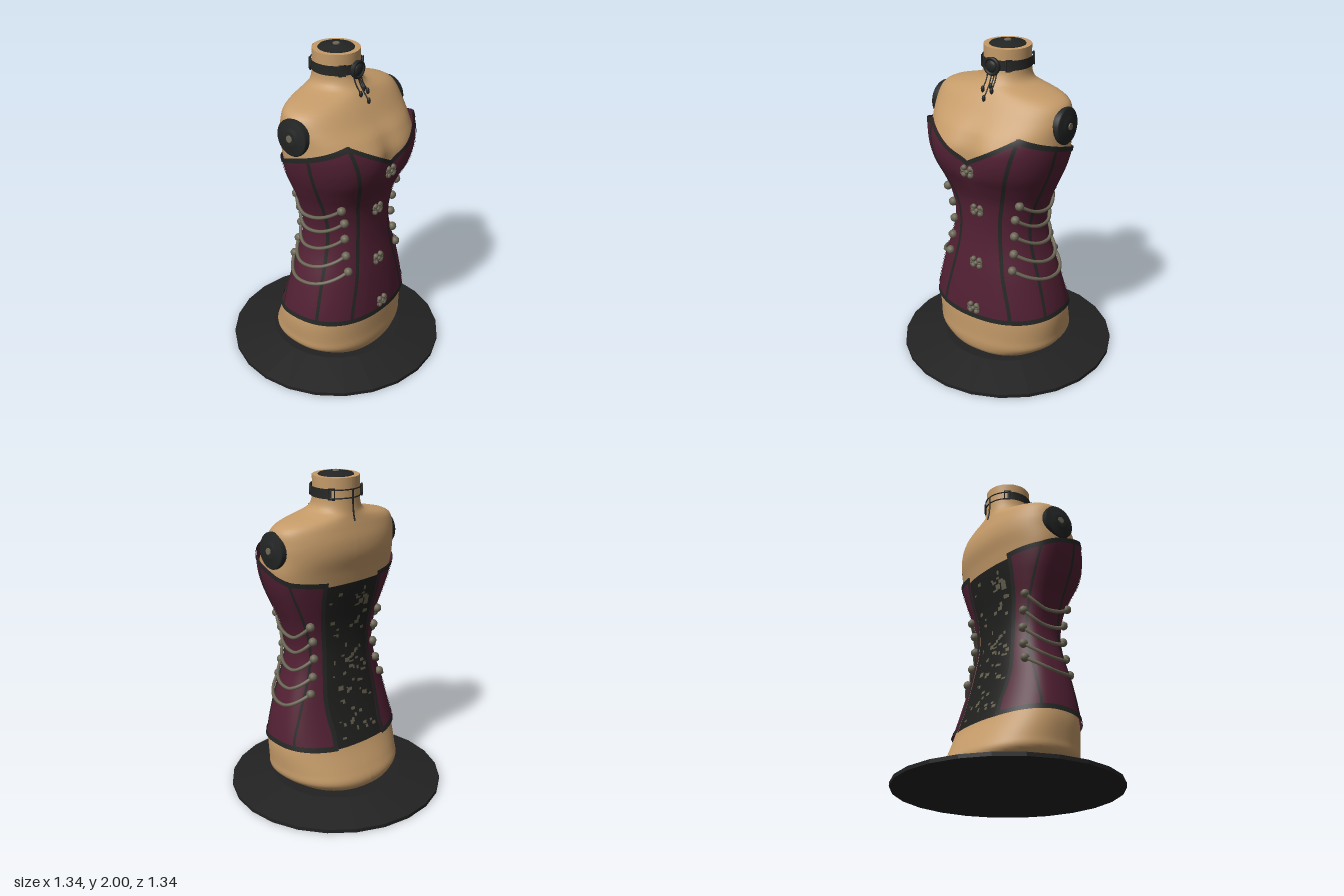
import * as THREE from 'three';
import { mergeGeometries } from 'three/addons/utils/BufferGeometryUtils.js';

const mat = (name, color, flatShading = false) =>
  new THREE.MeshStandardMaterial({ name, color, flatShading, side: THREE.DoubleSide });

// torso cross-sections: height, half width, front z, back z
const SECTIONS = [
  [0.07, 0.31, 0.335, -0.30], [0.09, 0.345, 0.35, -0.325], [0.14, 0.41, 0.36, -0.335], [0.2, 0.42, 0.36, -0.31],
  [0.35, 0.424, 0.36, -0.235], [0.6, 0.368, 0.335, -0.152], [0.8, 0.30, 0.305, -0.113], [0.92, 0.278, 0.297, -0.10],
  [1.02, 0.288, 0.30, -0.10], [1.12, 0.318, 0.317, -0.11], [1.22, 0.36, 0.36, -0.13], [1.32, 0.40, 0.41, -0.15],
  [1.44, 0.43, 0.425, -0.17], [1.54, 0.432, 0.372, -0.19], [1.62, 0.432, 0.30, -0.187], [1.70, 0.412, 0.24, -0.167],
  [1.735, 0.35, 0.212, -0.157], [1.755, 0.26, 0.197, -0.152], [1.772, 0.185, 0.183, -0.148], [1.80, 0.15, 0.162, -0.144],
  [1.85, 0.138, 0.142, -0.141], [1.975, 0.138, 0.14, -0.14],
];
const step = THREE.MathUtils.smoothstep, lerp = THREE.MathUtils.lerp;

// smooth interpolation of one section column at height y
function sample(y, col) {
  let i = 0;
  while (i < SECTIONS.length - 2 && y > SECTIONS[i + 1][0]) i++;
  const at = k => SECTIONS[Math.min(Math.max(k, 0), SECTIONS.length - 1)];
  const p = at(i), q = at(i + 1), h = q[0] - p[0], t = Math.min(Math.max((y - p[0]) / h, 0), 1);
  const slope = k => (at(k + 1)[col] - at(k - 1)[col]) / (at(k + 1)[0] - at(k - 1)[0]);
  const t2 = t * t, t3 = t2 * t;
  return (2 * t3 - 3 * t2 + 1) * p[col] + (t3 - 2 * t2 + t) * h * slope(i)
    + (3 * t2 - 2 * t3) * q[col] + (t3 - t2) * h * slope(i + 1);
}

// point on the torso, angle 0 = front, growing towards +x, pushed out by off
function point(angle, y, off = 0) {
  const neck = step(y, 1.6, 1.8), zc = 0.04 * (1 - neck), n = 2.3 - 0.3 * neck;
  const s = Math.sin(angle), c = Math.cos(angle);
  const r = 1 / Math.pow(Math.abs(s) ** n + Math.abs(c) ** n, 1 / n);
  const x = (sample(y, 1) + off) * s * r;
  let z = zc + (c > 0 ? sample(y, 2) - zc + off : zc - sample(y, 3) + off) * c * r;
  if (c > 0) z -= 0.035 * Math.exp(-(((y - 1.42) / 0.13) ** 2) - (x / 0.08) ** 2);
  return new THREE.Vector3(x, y, z);
}

// grid surface from a rule f(u, v) -> Vector3
function patch(f, nu, nv) {
  const pos = [], idx = [], w = nu + 1;
  for (let j = 0; j <= nv; j++) for (let i = 0; i <= nu; i++) pos.push(...f(i / nu, j / nv).toArray());
  for (let j = 0; j < nv; j++) for (let i = 0; i < nu; i++) {
    const a = j * w + i;
    idx.push(a, a + 1, a + w, a + 1, a + w + 1, a + w);
  }
  const g = new THREE.BufferGeometry();
  g.setAttribute('position', new THREE.Float32BufferAttribute(pos, 3));
  g.setIndex(idx);
  g.computeVertexNormals();
  return g;
}

// corset outline
const BACK = 2.72;
const backEdge = y => 2.58 + 0.15 * Math.min(1, ((y - 0.95) / 0.5) ** 2);
const NECKLINE = [[0, 1.395], [0.64, 1.568], [1.1, 1.515], [1.57, 1.46], [2.1, 1.415], [3.2, 1.375]];
function topY(angle) {
  const a = Math.abs(angle);
  const i = NECKLINE.findIndex((p, k) => a <= NECKLINE[k + 1][0]);
  const [p, q] = [NECKLINE[i], NECKLINE[i + 1]];
  return lerp(p[1], q[1], (a - p[0]) / (q[0] - p[0]));
}
const hemY = angle => 0.338 + 0.028 * Math.sin(angle) ** 2;
// the corset stands off the chest towards its upper front edge
const shell = (angle, y, off) =>
  point(angle, y, off + 0.03 * step(y, 1.42, 1.57) * Math.max(Math.cos(angle), 0));

export function createModel() {
  const skin = mat('skin', 0xc59b69), wine = mat('wine', 0x522033), trim = mat('trim', 0x252725);
  const black = mat('black', 0x222222, true), ironBlack = mat('ironBlack', 0x232424);
  const bronze = mat('bronze', 0x6c6756), lace = mat('lace', 0x20201f), motif = mat('laceMotif', 0x66614f);
  const model = new THREE.Group();
  const add = (name, geo, m, parent = model) => {
    const mesh = new THREE.Mesh(geo, m);
    mesh.name = name;
    parent.add(mesh);
    return mesh;
  };
  const group = name => {
    const g = new THREE.Group();
    g.name = name;
    model.add(g);
    return g;
  };
  const lathe = (pts, n) => new THREE.LatheGeometry(pts.map(p => new THREE.Vector2(...p)), n);
  const ball = (r, p, sy = 1) => new THREE.SphereGeometry(r, 12, 8).scale(1, sy, 1).translate(p.x, p.y, p.z);
  const tube = (pts, r, n = 20) => new THREE.TubeGeometry(new THREE.CatmullRomCurve3(pts), n, r, 6);

  // stand
  add('stand', lathe([[0, 0], [0.67, 0], [0.67, 0.022], [0.41, 0.08], [0, 0.08]], 24), black);

  // torso with neck
  add('torso', patch((u, v) => point(u * Math.PI * 2 - Math.PI, lerp(0.07, 1.975, v)), 72, 150), skin);
  add('neckTop', new THREE.CylinderGeometry(0.138, 0.138, 0.006, 32).translate(0, 1.973, 0), skin);

  // neck and arm fittings
  const fitting = (name, r) => {
    const g = group(name);
    add('plate', lathe([[r, -0.04], [r, 0.002], [r * 0.93, 0.01], [r * 0.6, 0.012], [r * 0.5, 0.02],
      [r * 0.3, 0.022], [0, 0.022]], 28), ironBlack, g);
    add('screw', new THREE.CylinderGeometry(0.02, 0.022, 0.008, 8).translate(0, 0.024, 0), bronze, g);
    return g;
  };
  fitting('neckFitting', 0.108).position.y = 1.972;
  for (const s of [1, -1]) {
    const f = fitting(s > 0 ? 'leftArmFitting' : 'rightArmFitting', 0.108);
    f.position.set(s * 0.432, 1.585, 0.053);
    f.rotation.z = -s * (Math.PI / 2 - 0.05);
  }

  // corset body
  const corset = group('corset');
  const onCorset = (s, y, off) => shell(s / BACK * backEdge(y), y, off);
  add('corsetPanels', patch((u, v) => {
    const s = lerp(-BACK, BACK, u);
    return onCorset(s, lerp(hemY(s), topY(s), v), 0.012);
  }, 136, 50), wine, corset);

  // edge bands
  const band = (name, y0, y1) => add(name, patch((u, v) => {
    const s = lerp(-BACK, BACK, u);
    return onCorset(s, lerp(y0(s), y1(s), v), 0.017);
  }, 136, 2), trim, corset);
  band('topTrim', s => topY(s) - 0.028, s => topY(s) + 0.002);
  band('hemTrim', s => hemY(s) - 0.002, s => hemY(s) + 0.028);

  // seams and back edges, mirrored
  const seams = [
    y => 0.48 + 0.16 * step(y, 1.0, 1.57) + 0.08 * step(-y, -0.7, -0.34),
    y => 1.1 + 0.14 * step(y, 0.95, 1.45) + 0.02 * step(-y, -0.7, -0.34),
    y => 2.2 - 0.18 * Math.min(1, ((y - 0.93) / 0.5) ** 2),
    y => backEdge(y) - 0.03,
  ];
  for (const side of [1, -1]) seams.forEach((f, k) => add(k < 3 ? 'seam' : 'backEdge', patch((u, v) => {
    const nominal = f(k ? 1.4 : 1.57), y = lerp(hemY(nominal), topY(nominal), v);
    const width = (k < 3 ? 0.024 : 0.03) / (sample(y, 1) + 0.03);
    return shell(side * f(y) + (u - 0.5) * width, y, 0.0165);
  }, 3, 50), trim, corset));

  // lace back panel with scattered motifs
  const backPoint = (u, y, off) => point(lerp(backEdge(y) - 0.03, Math.PI * 2 - backEdge(y) + 0.03, u), y, off);
  add('lacePanel', patch((u, v) => backPoint(u, lerp(0.345, 1.365, v), 0.008), 16, 50), lace, corset);
  let seed = 7;
  const rnd = () => (seed = (seed * 16807) % 2147483647) / 2147483647;
  const spots = [];
  for (let i = 0; i < 75; i++) {
    const u = 0.1 + rnd() * 0.75, y = 0.39 + rnd() * 0.93, w = 0.03 + rnd() * 0.07, h = 0.008 + rnd() * 0.02;
    spots.push(patch((a, b) => backPoint(u + a * w, y + b * h, 0.0105), 2, 1));
  }
  add('laceMotifs', mergeGeometries(spots), motif, corset);

  // front clasps
  for (const y of [1.33, 1.05, 0.705, 0.405]) {
    const parts = [], z = point(0, y, 0.016).z;
    for (const sx of [1, -1]) for (const sy of [1, -1]) {
      parts.push(ball(0.017, { x: sx * 0.021, y: y + sy * 0.021, z }));
      parts.push(new THREE.TorusGeometry(0.013, 0.006, 6, 12).translate(sx * 0.027, y + sy * 0.012, z + 0.004));
    }
    parts.push(ball(0.013, { x: 0, y, z: z + 0.006 }));
    add('clasp', mergeGeometries(parts), bronze, corset);
  }

  // draped side cords with end beads
  const cords = [[1.12, 0.8], [1.02, 0.76], [0.91, 0.76], [0.8, 0.72], [0.7, 0.66]];
  for (const side of [1, -1]) for (const [y, front] of cords) {
    const pts = [];
    for (let i = 0; i <= 12; i++) {
      const t = i / 12;
      pts.push(point(side * lerp(front, 2.3, t), y - 0.085 * (1 - (2 * t - 1) ** 2), 0.024));
    }
    add('sideCord', tube(pts, 0.011, 28), bronze, corset);
    add('cordBeads', mergeGeometries([ball(0.027, pts[0]), ball(0.027, pts[12])]), bronze, corset);
  }

  // choker band, with thin cords behind
  const choker = group('choker');
  add('chokerBand', patch((u, v) => point(lerp(-2.25, 2.25, u), lerp(1.857, 1.915, v), 0.008), 48, 2), trim, choker);
  for (const y of [1.862, 1.91]) {
    const pts = [];
    for (let i = 0; i <= 10; i++) pts.push(point(lerp(2.2, Math.PI * 2 - 2.2, i / 10), y, 0.006));
    add('backCord', tube(pts, 0.004), ironBlack, choker);
  }
  const tail = [1.91, 1.86, 1.81, 1.77, 1.73].map(y => point(Math.PI, y, 0.008));
  add('hangingCord', tube(tail, 0.005), ironBlack, choker);
  for (const a of [-0.65, 0.65, -2.25, 2.25]) {
    const loop = new THREE.TorusGeometry(0.036, 0.005, 6, 4).rotateZ(Math.PI / 4).scale(0.7, 1.2, 1);
    const ring = add('buckle', loop, ironBlack, choker);
    ring.position.copy(point(a, 1.886, 0.012));
    ring.rotation.y = a;
  }

  // medallion with three drops
  const rim = new THREE.TorusGeometry(0.046, 0.009, 8, 24).translate(0, 1.88, 0.163);
  const disc = new THREE.CylinderGeometry(0.05, 0.05, 0.018, 24).rotateX(Math.PI / 2).translate(0, 1.88, 0.155);
  const dome = new THREE.SphereGeometry(0.034, 16, 8).scale(1, 1, 0.4).translate(0, 1.88, 0.163);
  add('medallion', mergeGeometries([rim, disc, dome]), ironBlack, choker);
  for (const [x, end] of [[-0.03, 1.755], [0, 1.715], [0.03, 1.755], [0.015, 1.775]]) {
    const at = y => point(x / 0.2, y, 0.012).setX(x);
    add('pendantChain', tube([at(1.85), at((1.85 + end) / 2), at(end)], 0.004), ironBlack, choker);
    add('pendantDrop', ball(0.011, at(end), 1.8), ironBlack, choker);
  }
  return model;
}
